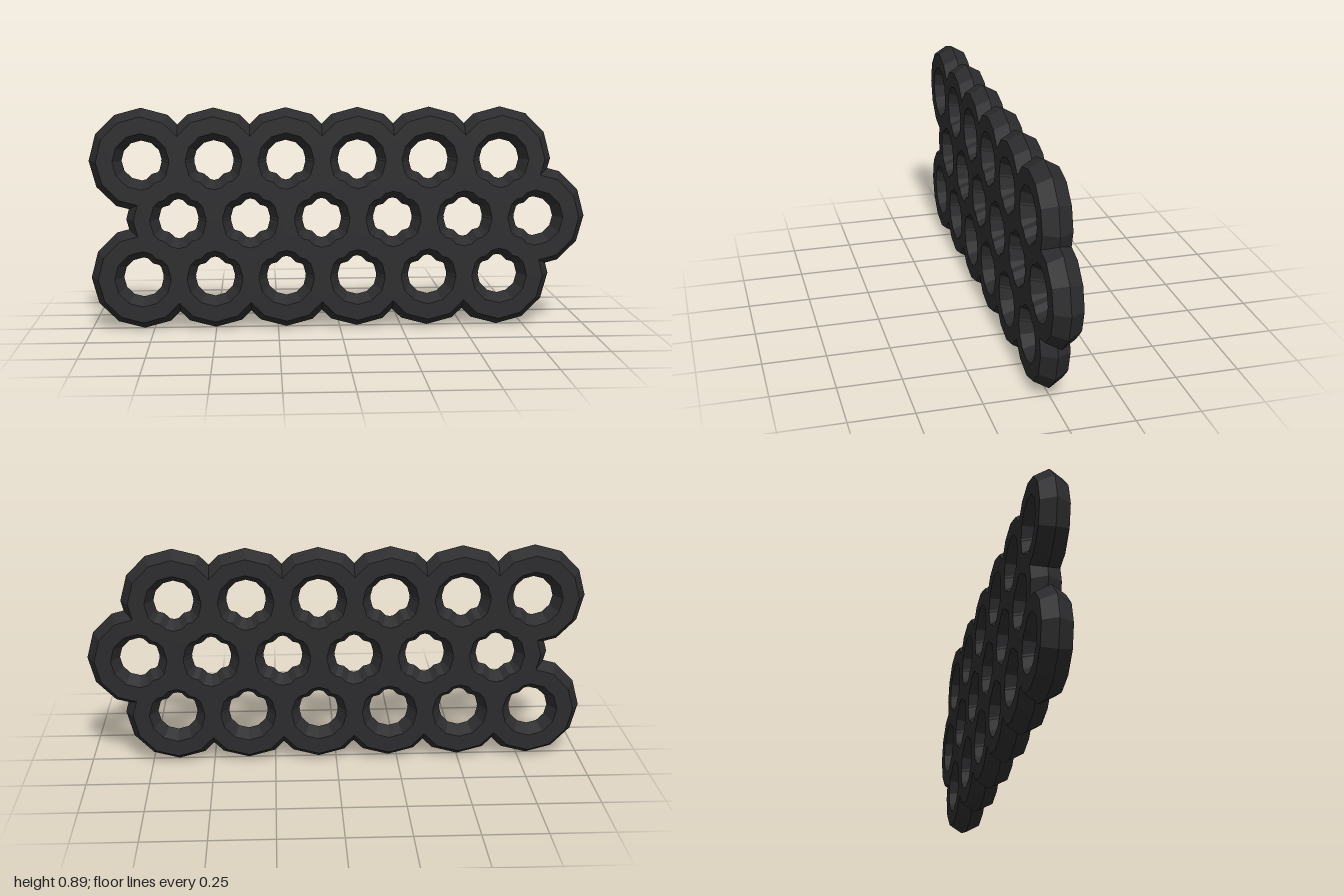
import * as THREE from 'three';

const RING = 0.145;   // centre line radius of one ring
const TUBE = 0.065;   // radius of the hexagonal section
const PITCH = 0.287;  // spacing of rings along a row
const ROW = 0.236;    // spacing of the rows
const COLUMNS = 6;
const ROWS = 3;

export function createModel() {
  const model = new THREE.Group();
  model.name = 'ringPanel';

  const material = new THREE.MeshStandardMaterial({ color: 0x2b2b2d, flatShading: true });
  // Twelve-sided ring with a six-sided section: pointed rims, flat front and back
  const ringGeometry = new THREE.TorusGeometry(RING, TUBE, 6, 12);

  const outer = RING + TUBE;
  const left = -1 + outer;

  // Overlapping rings in staggered rows
  for (let r = 0; r < ROWS; r++) {
    const row = new THREE.Group();
    row.name = ['bottomRow', 'middleRow', 'topRow'][r];
    row.position.set(left + (r % 2) * PITCH / 2, outer + r * ROW, 0);
    for (let c = 0; c < COLUMNS; c++) {
      const ring = new THREE.Mesh(ringGeometry, material);
      ring.name = `ring${c + 1}`;
      ring.position.x = c * PITCH;
      row.add(ring);
    }
    model.add(row);
  }
  return model;
}
